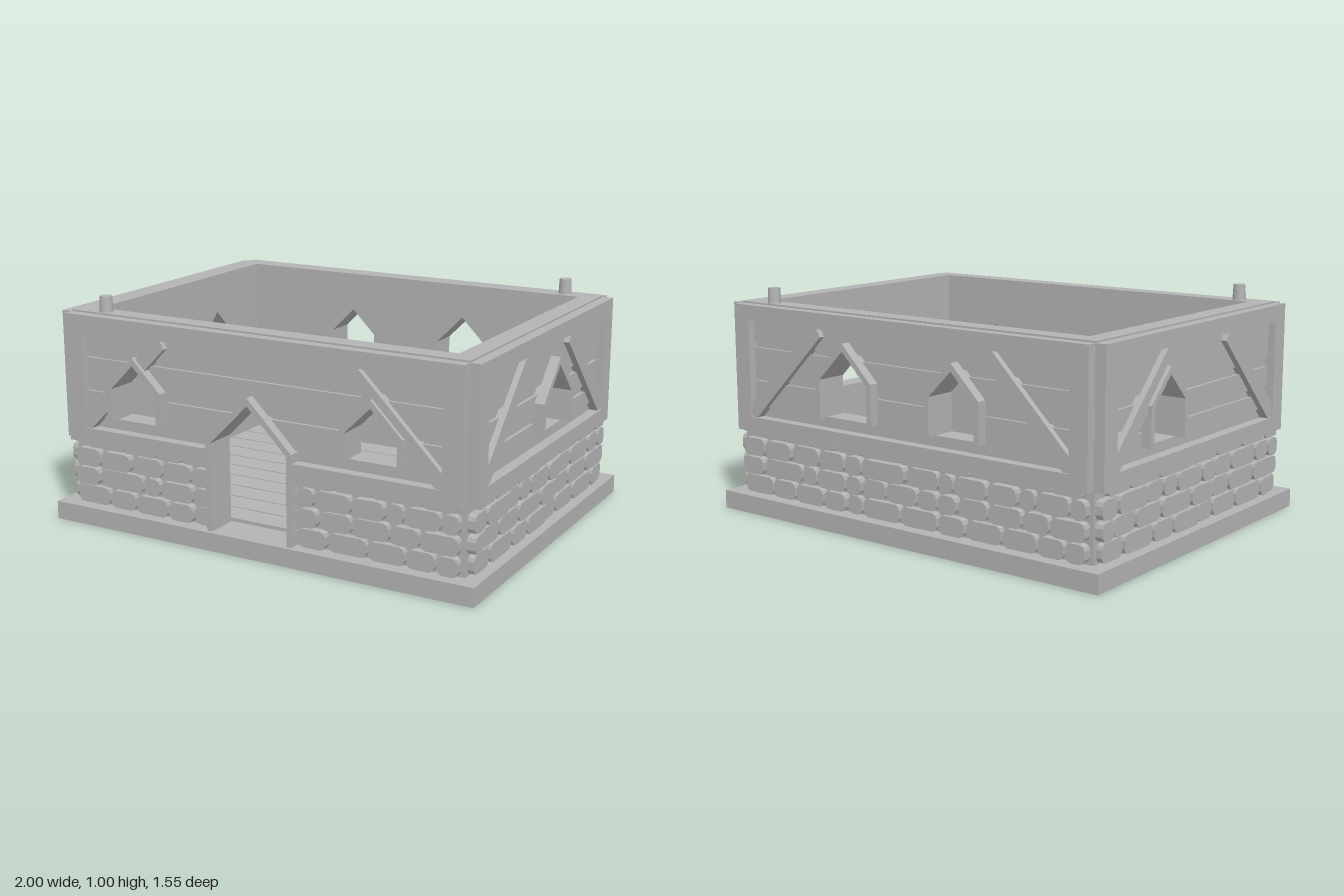
import * as THREE from 'three';
import { mergeGeometries } from 'three/addons/utils/BufferGeometryUtils.js';

const grey = new THREE.MeshStandardMaterial({ color: 0xb3b3b3 });
grey.name = 'plain grey';

// Keep the part of a polygon on one side of the line a-b
function clip(poly, a, b, sign) {
  const dist = p => sign * ((b[0] - a[0]) * (p[1] - a[1]) - (b[1] - a[1]) * (p[0] - a[0]));
  const out = [];
  poly.forEach((p, i) => {
    const q = poly[(i + 1) % poly.length], dp = dist(p), dq = dist(q);
    if (dp >= 0) out.push(p);
    if (dp * dq < 0) {
      const t = dp / (dp - dq);
      out.push([p[0] + t * (q[0] - p[0]), p[1] + t * (q[1] - p[1])]);
    }
  });
  return out;
}

function area(poly) {
  return Math.abs(poly.reduce((s, p, i) => {
    const q = poly[(i + 1) % poly.length];
    return s + p[0] * q[1] - q[0] * p[1];
  }, 0)) / 2;
}

// Subtract a convex counter-clockwise hole from a convex polygon
function cut(poly, hole) {
  const pieces = [];
  let rest = poly;
  hole.forEach((a, i) => {
    const b = hole[(i + 1) % hole.length];
    const piece = clip(rest, a, b, -1);
    if (piece.length > 2 && area(piece) > 1e-5) pieces.push(piece);
    rest = clip(rest, a, b, 1);
  });
  return pieces;
}

// Extrude polygons from z0 to z1 after cutting the openings out
function slab(polys, holes, z0, z1) {
  for (const h of holes) polys = polys.flatMap(p => cut(p, h));
  return polys.map(p => {
    const shape = new THREE.Shape(p.map(([x, y]) => new THREE.Vector2(x, y)));
    return new THREE.ExtrudeGeometry(shape, { depth: z1 - z0, bevelEnabled: false }).translate(0, 0, z0);
  });
}

const rect = (x0, y0, x1, y1) => [[x0, y0], [x1, y0], [x1, y1], [x0, y1]];

// Gabled opening outline, shrunk by t
function gable({ c, hw, peak, bottom }, t = 0) {
  const w = hw - t, top = peak - t * Math.SQRT2;
  return [[c - w, bottom], [c + w, bottom], [c + w, top - w], [c, top], [c - w, top - w]];
}

function stone(x0, x1, y0, y1) {
  const g = 0.007, k = Math.min(0.022, (y1 - y0) * 0.3);
  x0 += g; x1 -= g;
  return [[x0 + k, y0], [x1 - k, y0], [x1 - k * 0.3, y0 + k * 0.3], [x1, y0 + k], [x1, y1 - k],
    [x1 - k * 0.3, y1 - k * 0.3], [x1 - k, y1], [x0 + k, y1], [x0 + k * 0.3, y1 - k * 0.3],
    [x0, y1 - k], [x0, y0 + k], [x0 + k * 0.3, y0 + k * 0.3]];
}

const longRows = [
  [-0.92, -0.74, -0.6, -0.43, -0.3, -0.21, 0, 0.2, 0.34, 0.52, 0.69, 0.82, 0.92],
  [-0.92, -0.79, -0.56, -0.47, -0.3, -0.21, -0.08, 0.09, 0.2, 0.3, 0.45, 0.62, 0.75, 0.92],
  [-0.92, -0.78, -0.62, -0.46, -0.31, -0.21, 0.03, 0.2, 0.28, 0.45, 0.6, 0.68, 0.84, 0.92],
  [-0.85, -0.66, -0.49, -0.36, -0.21, 0, 0.2, 0.37, 0.54, 0.76, 0.9],
];
const shortRows = [
  [-0.69, -0.54, -0.33, -0.18, 0.025, 0.14, 0.33, 0.55, 0.63, 0.7],
  [-0.7, -0.61, -0.455, -0.27, -0.045, 0.13, 0.275, 0.485, 0.7],
  [-0.7, -0.585, -0.375, -0.255, -0.15, 0.04, 0.155, 0.295, 0.5, 0.61, 0.7],
  [-0.65, -0.5, -0.29, -0.06, 0.17, 0.38, 0.58, 0.69],
];
const rowY = [[0.085, 0.163], [0.17, 0.247], [0.254, 0.332], [0.34, 0.368]];
const longBoards = [[0.475, 0.588], [0.6, 0.735], [0.76, 0.855]];
const shortBoards = [[0.473, 0.54], [0.57, 0.655], [0.69, 0.855]];

// One wall; z = 0 is the outer face of its core, +z points outward
function wall(name, { core, half, recess, rows, boards, openings }) {
  const group = new THREE.Group();
  group.name = name;
  const add = (part, geos) => {
    const mesh = new THREE.Mesh(mergeGeometries(geos), grey);
    mesh.name = part;
    group.add(mesh);
  };
  const outer = openings.map(o => gable(o)), inner = openings.map(o => gable(o, 0.024));
  const R = recess;

  add('wallCore', slab([rect(-core, 0.06, core, 0.93)], inner, -0.085, 0));
  add('timberFrame', slab([
    rect(-half, 0.365, half, 0.43), rect(-half, 0.855, half, 0.923),
    rect(-half, 0.43, -R, 0.855), rect(R, 0.43, half, 0.855),
  ], outer, -0.002, 0.047));

  // Diagonal braces, mirrored
  const brace = [[-R, 0.49], [-R, 0.43], [-R + 0.03, 0.43], [-R + 0.42, 0.82], [-R + 0.4, 0.855], [-R + 0.365, 0.855]];
  const mirrored = brace.map(([x, y]) => [-x, y]).reverse();
  add('braces', slab([brace, mirrored], outer, -0.002, 0.04));

  add('boards', slab(boards.map(([a, b]) => rect(-R, a, R, b)), outer, -0.002, 0.014));
  add('openingFrames', openings.flatMap((o, i) => slab([outer[i]], [inner[i]], -0.085, 0.057)));

  // Stone courses below the timber
  const stones = [];
  rows.forEach((edges, r) => edges.slice(1).forEach((x, i) => {
    const depth = 0.027 + 0.004 * ((i * 5 + r * 3) % 4) * 0.8;
    stones.push(...slab([stone(edges[i], x, ...rowY[r])], outer, -0.002, depth));
  }));
  add('stones', stones);
  return group;
}

export function createModel() {
  const model = new THREE.Group();
  const part = (name, geo, x, y, z) => {
    const mesh = new THREE.Mesh(geo, grey);
    mesh.name = name;
    mesh.position.set(x, y, z);
    model.add(mesh);
  };
  const box = (name, x0, x1, y0, y1, z0, z1) => part(name,
    new THREE.BoxGeometry(x1 - x0, y1 - y0, z1 - z0), (x0 + x1) / 2, (y0 + y1) / 2, (z0 + z1) / 2);

  box('base', -1, 1, 0, 0.08, -0.775, 0.775);
  for (let i = 0; i < 10; i++) {
    const z = -0.615 + i * 0.123;
    box('floorPlank', -0.845, 0.845, 0.075, 0.095, z + 0.004, z + 0.119);
  }

  const long = { core: 0.93, half: 0.93, recess: 0.845, rows: longRows, boards: longBoards };
  const short = { core: 0.615, half: 0.705, recess: 0.62, rows: shortRows, boards: shortBoards };
  const win = (c, hw, peak) => ({ c, hw, peak, bottom: 0.48 });
  const door = { c: -0.013, hw: 0.205, peak: 0.675, bottom: 0.078 };

  const place = (w, x, z, turn) => {
    w.position.set(x, 0, z);
    w.rotation.y = turn;
    model.add(w);
  };
  place(wall('frontWall', { ...long, openings: [win(-0.578, 0.1375, 0.77), door, win(0.545, 0.14, 0.743)] }), 0, 0.7, 0);
  place(wall('backWall', { ...long, openings: [win(-0.285, 0.155, 0.81), win(0.2925, 0.1375, 0.79)] }), 0, -0.7, Math.PI);
  place(wall('leftWall', { ...short, openings: [win(0.064, 0.164, 0.79)] }), 0.93, 0, Math.PI / 2);
  place(wall('rightWall', { ...short, openings: [win(-0.2625, 0.1375, 0.785)] }), -0.93, 0, -Math.PI / 2);

  // Shelf on the back wall with a small bottle-shaped block on it
  box('shelf', -0.775, -0.15, 0.235, 0.28, -0.62, -0.44);
  box('blockBody', -0.72, -0.62, 0.28, 0.31, -0.575, -0.467);
  box('blockNeck', -0.62, -0.525, 0.28, 0.3, -0.563, -0.49);

  // Locating pegs on two opposite corners
  for (const [x, z] of [[0.765, -0.665], [-0.775, 0.66]]) {
    part('peg', new THREE.CylinderGeometry(0.026, 0.03, 0.08, 24), x, 0.957, z);
  }
  return model;
}
